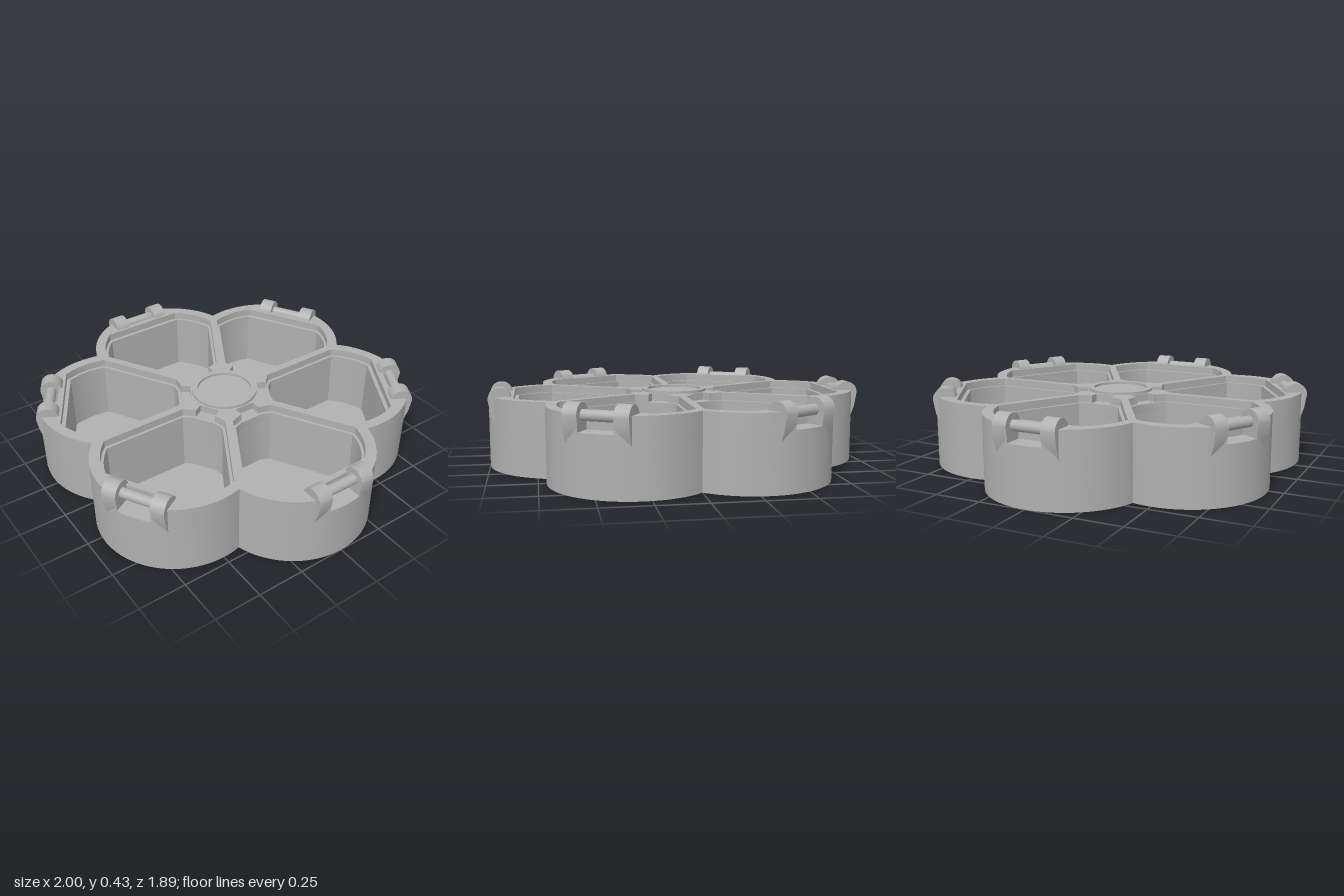
import * as THREE from 'three';
import { toCreasedNormals } from 'three/addons/utils/BufferGeometryUtils.js';

const LOBE = 0.58;    // distance of each lobe centre from the hub
const RADIUS = 0.42;  // lobe radius
const HEIGHT = 0.385;
const V = (x, y) => new THREE.Vector2(x, y);
const turn = (pts, k) => pts.map(p => p.clone().rotateAround(V(0, 0), k * Math.PI / 3));

// arc about a lobe centre lying on +x
function arc(r, a, b, n) {
  return Array.from({ length: n + 1 }, (_, i) => {
    const t = a + (b - a) * i / n;
    return V(LOBE + r * Math.cos(t), r * Math.sin(t));
  });
}

// angle at which a lobe arc meets a line parallel to the 30 degree divider
function meetAngle(r, offset) {
  const h = LOBE / 2 - offset;
  const t = LOBE * Math.cos(Math.PI / 6) + Math.sqrt(r * r - h * h);
  const x = t * Math.cos(Math.PI / 6) + offset / 2;
  const y = t / 2 - offset * Math.cos(Math.PI / 6);
  return Math.atan2(y, x - LOBE);
}

// six-lobed outline, optionally with the hinge notches cut into its edge
function outline(notched) {
  const end = meetAngle(RADIUS, 0), gap = Math.asin(0.09 / RADIUS);
  const lobe = notched
    ? [...arc(RADIUS, -end, -gap, 14), V(0.895, -0.09), V(0.895, 0.09), ...arc(RADIUS, gap, end, 14)]
    : arc(RADIUS, -end, end, 36);
  lobe.pop();
  return Array.from({ length: 6 }, (_, k) => turn(lobe, k)).flat();
}

// one wedge-shaped compartment, optionally with a latch slot towards the hub
function pocket(offset, r, xMax, xMin, slot) {
  const xs = xMin + 0.02;
  const half = [
    ...(slot ? [V(0.182, 0.055), V(xMin, 0.055)] : []),
    V(xMin, 0.068),
    V(xs, xs * Math.tan(Math.PI / 6) - offset / Math.cos(Math.PI / 6)),
    ...arc(r, meetAngle(r, offset), Math.acos((xMax - LOBE) / r), 8),
  ];
  return [...half, ...half.map(p => V(p.x, -p.y)).reverse()];
}

function slab(shape, y0, y1) {
  const g = new THREE.ExtrudeGeometry(shape, { depth: y1 - y0, bevelEnabled: false, curveSegments: 32 });
  g.rotateX(-Math.PI / 2).translate(0, y0, 0);
  return toCreasedNormals(g, 0.45);
}

function traySlab(notched, hole, y0, y1) {
  const shape = new THREE.Shape(outline(notched));
  if (hole) for (let k = 0; k < 6; k++) shape.holes.push(new THREE.Path(turn(hole, k)));
  return slab(shape, y0, y1);
}

export function createModel() {
  const grey = new THREE.MeshStandardMaterial({ color: 0xb0b0b0 });
  grey.name = 'grey plastic';
  const model = new THREE.Group();
  model.name = 'compartmentTray';
  const add = (parent, name, geometry) => {
    const mesh = new THREE.Mesh(geometry, grey);
    mesh.name = name;
    parent.add(mesh);
    return mesh;
  };

  // tray body in layers: floor, walls, notched walls and the stepped rim
  const inner = pocket(0.035, 0.35, 0.845, 0.25, false);
  const outer = pocket(0.02, 0.365, 0.865, 0.235, true);
  add(model, 'floor', traySlab(false, null, 0, 0.03));
  add(model, 'walls', traySlab(false, inner, 0.03, 0.3));
  add(model, 'notchedWalls', traySlab(true, inner, 0.3, 0.345));
  add(model, 'steppedRim', traySlab(true, outer, 0.345, HEIGHT));

  // raised ring on the hub
  const ring = new THREE.Shape().absarc(0, 0, 0.175, 0, Math.PI * 2, false);
  ring.holes.push(new THREE.Path().absarc(0, 0, 0.145, 0, Math.PI * 2, true));
  add(model, 'hubRing', slab(ring, HEIGHT - 0.01, 0.398));

  // hinge lug: round top tapering down into the outer wall
  const lugShape = new THREE.Shape();
  lugShape.moveTo(0.95, 0.24);
  lugShape.lineTo(0.964, 0.24);
  lugShape.lineTo(0.985, 0.3);
  lugShape.lineTo(0.997, 0.372);
  lugShape.absarc(0.937, 0.372, 0.06, 0, Math.PI, false);
  lugShape.lineTo(0.9, 0.3);
  lugShape.closePath();
  const lugGeometry = toCreasedNormals(
    new THREE.ExtrudeGeometry(lugShape, { depth: 0.075, bevelEnabled: false, curveSegments: 20 }), 0.45);
  const pinGeometry = new THREE.CylinderGeometry(0.027, 0.027, 0.2, 24).rotateX(Math.PI / 2);

  for (let k = 0; k < 6; k++) {
    const hinge = new THREE.Group();
    hinge.name = 'hinge' + (k + 1);
    add(hinge, 'leftLug', lugGeometry).position.z = 0.09;
    add(hinge, 'rightLug', lugGeometry).position.z = -0.165;
    add(hinge, 'hingePin', pinGeometry).position.set(0.937, 0.373, 0);
    hinge.rotation.y = k * Math.PI / 3;
    model.add(hinge);
  }
  return model;
}
